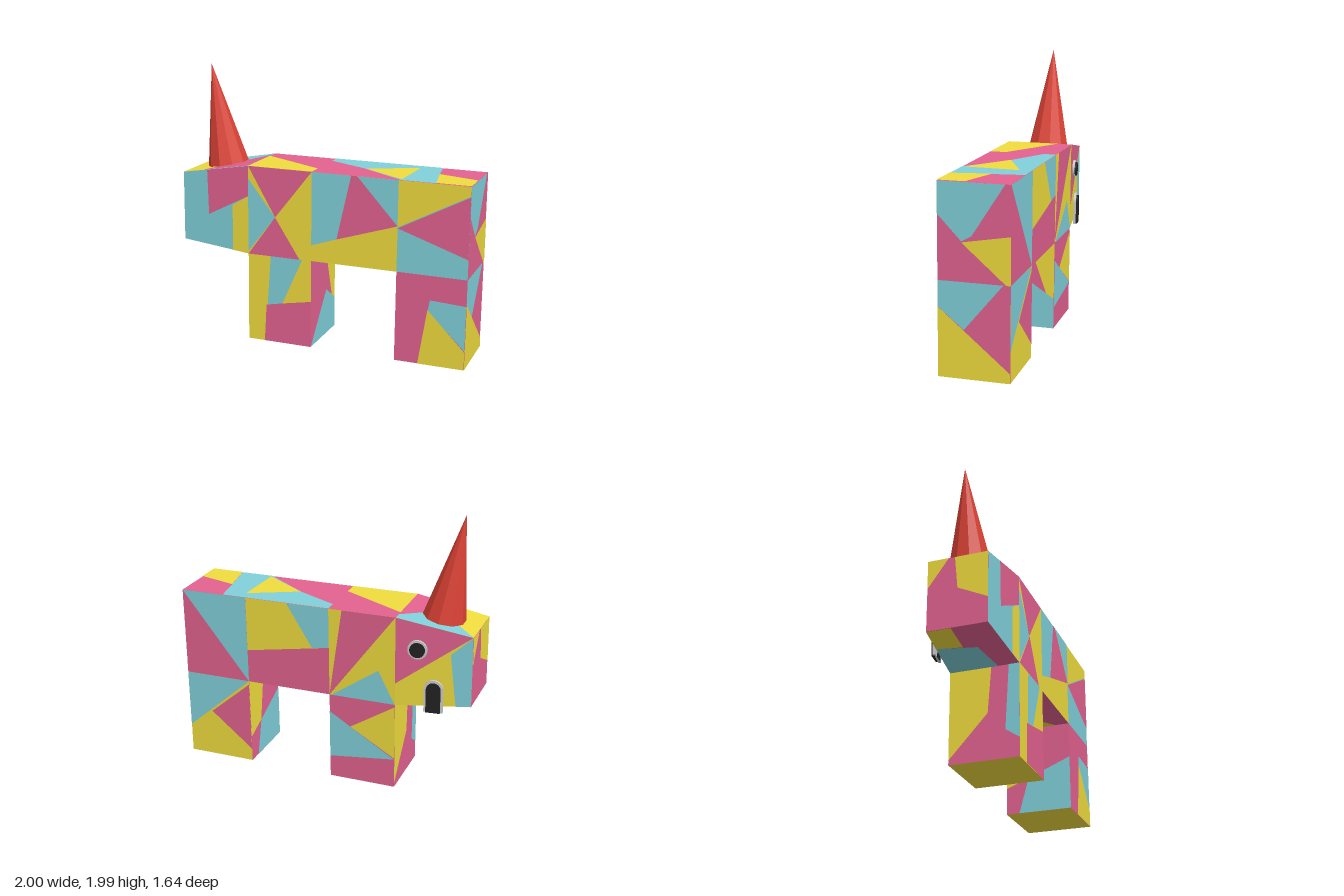
import * as THREE from 'three';

const mat = (color) => new THREE.MeshStandardMaterial({ color, flatShading: true });
const Y = mat(0xefdc3e), P = mat(0xe2628f), C = mat(0x80d0da);
const RED = mat(0xdc4235), GREY = mat(0xcccccc), BLACK = mat(0x222222);

// Local frame: x runs from the tail (0) to the snout, y is up, z runs across the body.
const BODY = 1.614, SNOUT = 2.138, WIDE = 0.486, MID = 0.648, TOP = 1.293;
const REAR_LEG = 0.5, FRONT_LEG = 1.13;

// A quad (corners counter-clockwise from bottom left, seen from outside) carrying flat
// colour patches; patch points are s, t pairs across the quad.
function panel(name, corners, base, patches = []) {
  const [a, b, c, d] = corners.map((p) => new THREE.Vector3(...p));
  const normal = b.clone().sub(a).cross(d.clone().sub(a)).normalize();
  const group = new THREE.Group();
  group.name = name;
  [[base, [0, 0, 1, 0, 1, 1, 0, 1]], ...patches].forEach(([material, st], layer) => {
    const pts = [];
    for (let i = 0; i < st.length; i += 2) pts.push(new THREE.Vector2(st[i], st[i + 1]));
    const geo = new THREE.ShapeGeometry(new THREE.Shape(pts));
    const pos = geo.attributes.position;
    for (let i = 0; i < pos.count; i++) {
      const s = pos.getX(i), t = pos.getY(i);
      const low = a.clone().lerp(b, s), high = d.clone().lerp(c, s);
      const v = low.lerp(high, t).addScaledVector(normal, layer * 0.0012);
      pos.setXYZ(i, v.x, v.y, v.z);
    }
    geo.computeVertexNormals();
    const mesh = new THREE.Mesh(geo, material);
    mesh.name = name + 'Patch';
    group.add(mesh);
  });
  return group;
}

// Upright rectangles: left flank (z = 0), right flank (z = WIDE), and faces towards tail or snout
const left = (x0, x1, y0, y1) => [[x1, y0, 0], [x0, y0, 0], [x0, y1, 0], [x1, y1, 0]];
const right = (x0, x1, y0, y1) => [[x0, y0, WIDE], [x1, y0, WIDE], [x1, y1, WIDE], [x0, y1, WIDE]];
const tailward = (x, y0, y1) => [[x, y0, 0], [x, y0, WIDE], [x, y1, WIDE], [x, y1, 0]];
const snoutward = (x, y0, y1) => [[x, y0, WIDE], [x, y0, 0], [x, y1, 0], [x, y1, WIDE]];
const under = (x0, x1, y) => [[x0, y, 0], [x1, y, 0], [x1, y, WIDE], [x0, y, WIDE]];

function buildBody() {
  const g = new THREE.Group();
  g.name = 'body';
  g.add(
    panel('leftShoulder', left(FRONT_LEG, BODY, MID, TOP), Y, [
      [P, [0, 1, 1, 1, 0.43, 0.45]], [C, [0, 0.86, 0.43, 0.45, 0, 0.03]], [P, [0, 0, 0.82, 0, 0.43, 0.45]]]),
    panel('leftFlank', left(REAR_LEG, FRONT_LEG, MID, TOP), Y, [
      [C, [0, 1, 0.47, 1, 0.3, 0.28, 0, 0.18]], [P, [0.46, 1, 0.53, 1, 1, 0.5, 0.3, 0.28]], [C, [0.53, 1, 1, 1, 1, 0.5]]]),
    panel('leftHip', left(0, REAR_LEG, MID, TOP), C, [
      [Y, [0, 1, 1, 1, 1, 0.9, 0, 0.49]], [P, [0, 0.48, 1, 0.89, 1, 0.22]]]),
    panel('rightHip', right(0, REAR_LEG, MID, TOP), P, [[C, [0, 1, 1, 1, 1, 0]]]),
    panel('rightFlank', right(REAR_LEG, FRONT_LEG, MID, TOP), Y, [
      [P, [0, 0.38, 1, 0.55, 1, 0, 0, 0]], [C, [0.5, 1, 1, 1, 1, 0.55, 0.8, 0.52]]]),
    panel('rightShoulder', right(FRONT_LEG, BODY, MID, TOP), Y, [
      [P, [0.2, 1, 1, 1, 0, 0]], [C, [0.03, 0, 0.75, 0.37, 1, 0]]]),
    panel('rump', tailward(0, MID, TOP), P, [
      [C, [0, 1, 0.92, 1, 0.47, 0.47, 0.33, 0.41, 0, 0.67]], [Y, [0.33, 0.4, 1, 0.49, 1, 0, 0.94, 0]]]),
    panel('back', [[BODY, TOP, 0], [0, TOP, 0], [0, TOP, WIDE], [BODY, TOP, WIDE]], P, [
      [Y, [0, 0, 0.3, 0, 0.3, 0.24, 0, 0.79]],
      [C, [0.3, 1, 0.8, 1, 0.82, 0.56, 0.85, 0, 0.7, 0, 0.49, 0.5, 0.3, 0.82]],
      [Y, [0.49, 0.5, 0.71, 0.84, 0.7, 0.04]],
      [Y, [0.82, 0.56, 1, 0.38, 1, 0, 0.85, 0]]]),
    panel('belly', under(REAR_LEG, FRONT_LEG, MID), P, [
      [Y, [0, 1, 0.3, 1, 0.2, 0.4, 0, 0.2]], [C, [0.3, 1, 1, 1, 1, 0.6, 0.4, 0.5]]]),
  );
  return g;
}

function buildLegs() {
  const front = new THREE.Group(), rear = new THREE.Group();
  front.name = 'frontLeg';
  rear.name = 'rearLeg';
  front.add(
    panel('frontLegLeft', left(FRONT_LEG, BODY, 0, MID), Y, [
      [P, [0.29, 0.43, 1, 0.53, 1, 0, 0.26, 0]], [C, [0.36, 1, 0.86, 1, 0.55, 0.47, 0.31, 0.43]]]),
    panel('frontLegRight', right(FRONT_LEG, BODY, 0, MID), P, [
      [Y, [0.32, 0.65, 1, 0.97, 1, 0.35]], [C, [0, 0.8, 0.32, 0.65, 1, 0.34, 0, 0.25]]]),
    panel('frontLegBack', tailward(FRONT_LEG, 0, MID), P, [
      [Y, [0.6, 1, 1, 1, 1, 0.15]], [C, [0, 0, 0.63, 0.53, 1, 0.35, 1, 0]]]),
    panel('frontLegFront', snoutward(BODY, 0, MID), P, [
      [Y, [0, 1, 0.6, 1, 0.55, 0.5, 0, 0.05]], [C, [0.85, 1, 1, 1, 1, 0.2, 0.8, 0.3]]]),
    panel('frontLegSole', under(FRONT_LEG, BODY, 0), Y),
  );
  rear.add(
    panel('rearLegLeft', left(0, REAR_LEG, 0, MID), P, [
      [C, [0.49, 0.73, 1, 0.71, 1, 0.21, 0.46, 0.61]], [Y, [0.46, 0.62, 1, 0.2, 1, 0, 0.34, 0]]]),
    panel('rearLegRight', right(0, REAR_LEG, 0, MID), Y, [
      [C, [0, 1, 1, 1, 0, 0.33]], [P, [1, 0.96, 1, 0.15, 0.37, 0.55]]]),
    panel('rearLegBack', tailward(0, 0, MID), P, [
      [C, [0, 1, 0.9, 1, 0.36, 0.51, 0, 0.73]], [Y, [0, 0.73, 1, 0.1, 1, 0, 0, 0]]]),
    panel('rearLegFront', snoutward(REAR_LEG, 0, MID), P, [
      [Y, [0, 1, 0.5, 1, 0.35, 0.4, 0, 0.3]], [C, [0.35, 0.4, 1, 0.6, 1, 0, 0.2, 0]]]),
    panel('rearLegSole', under(0, REAR_LEG, 0), Y),
  );
  return [front, rear];
}

// Tapered head: four corners at the body and four smaller ones at the snout
function buildHead() {
  const ring = (x, y0, y1, z0, z1) => [[x, y0, z0], [x, y0, z1], [x, y1, z1], [x, y1, z0]];
  const n = ring(BODY, MID, TOP, 0, WIDE), s = ring(SNOUT, 0.696, 1.2, 0.022, 0.434);
  const g = new THREE.Group();
  g.name = 'head';
  g.add(
    panel('leftCheek', [s[0], n[0], n[3], s[3]], C, [
      [P, [0.37, 1, 1, 1, 1, 0.66, 0.39, 0.41]], [Y, [0.76, 0.55, 1, 0.66, 1, 0, 0.76, 0]]]),
    panel('rightCheek', [n[1], s[1], s[2], n[2]], Y, [
      [P, [0, 1, 1, 1, 0, 0.25]], [C, [1, 1, 0.72, 0.7, 0.8, 0, 1, 0]]]),
    panel('forehead', [s[3], n[3], n[2], s[2]], C, [
      [Y, [0, 0, 0.32, 0, 0.58, 0.35, 0, 1]], [P, [0.32, 0, 1, 0, 1, 0.88, 0.58, 0.35]]]),
    panel('snout', [s[1], s[0], s[3], s[2]], P, [
      [Y, [0.45, 1, 1, 1, 1, 0.35, 0.5, 0.55]], [Y, [0, 1, 0.35, 1, 0, 0.6]]]),
    panel('chin', [n[0], s[0], s[1], n[1]], P, [
      [C, [0, 1, 0.6, 1, 0.5, 0.4, 0, 0.3]], [Y, [0.6, 1, 1, 1, 1, 0.6, 0.55, 0.6]]]),
  );

  // Horn standing square on the sloping forehead
  const horn = new THREE.Mesh(new THREE.ConeGeometry(0.15, 0.735, 10).translate(0, 0.3675, 0), RED);
  horn.name = 'horn';
  horn.position.set(1.882, 1.245, 0.242);
  horn.rotation.z = -0.176;
  g.add(horn);

  // Eye and arched mouth on the right cheek: grey rim with a prouder black centre
  const arch = (r, height) => {
    const shape = new THREE.Shape();
    shape.moveTo(-r, 0);
    shape.lineTo(r, 0);
    shape.absarc(0, height - r, r, 0, Math.PI);
    return shape;
  };
  const disc = (r) => new THREE.Shape().absarc(0, 0, r, 0, Math.PI * 2);
  const feature = (name, x, y, z, rim, centre) => {
    const f = new THREE.Group();
    f.name = name;
    [[rim, 0.018, GREY, 'Rim'], [centre, 0.03, BLACK, 'Centre']].forEach(([shape, depth, material, part]) => {
      const geo = new THREE.ExtrudeGeometry(shape, { depth, bevelEnabled: false, curveSegments: 10 });
      const mesh = new THREE.Mesh(geo, material);
      mesh.name = name + part;
      f.add(mesh);
    });
    f.position.set(x, y, z);
    f.rotation.y = 0.099;
    g.add(f);
  };
  feature('eye', 1.767, 1.08, 0.47, disc(0.068), disc(0.053));
  feature('mouth', 1.882, 0.632, 0.459, arch(0.066, 0.235), arch(0.05, 0.218));
  return g;
}

export function createModel() {
  const animal = new THREE.Group();
  animal.name = 'patchworkAnimal';
  animal.add(buildBody(), ...buildLegs(), buildHead());
  // Turned diagonally, with a slight lean
  animal.rotation.set(0.01, 2.498, 0.01, 'YZX');
  animal.position.set(0.69, 0.006, 0.81);
  const model = new THREE.Group();
  model.name = 'model';
  model.add(animal);
  return model;
}
